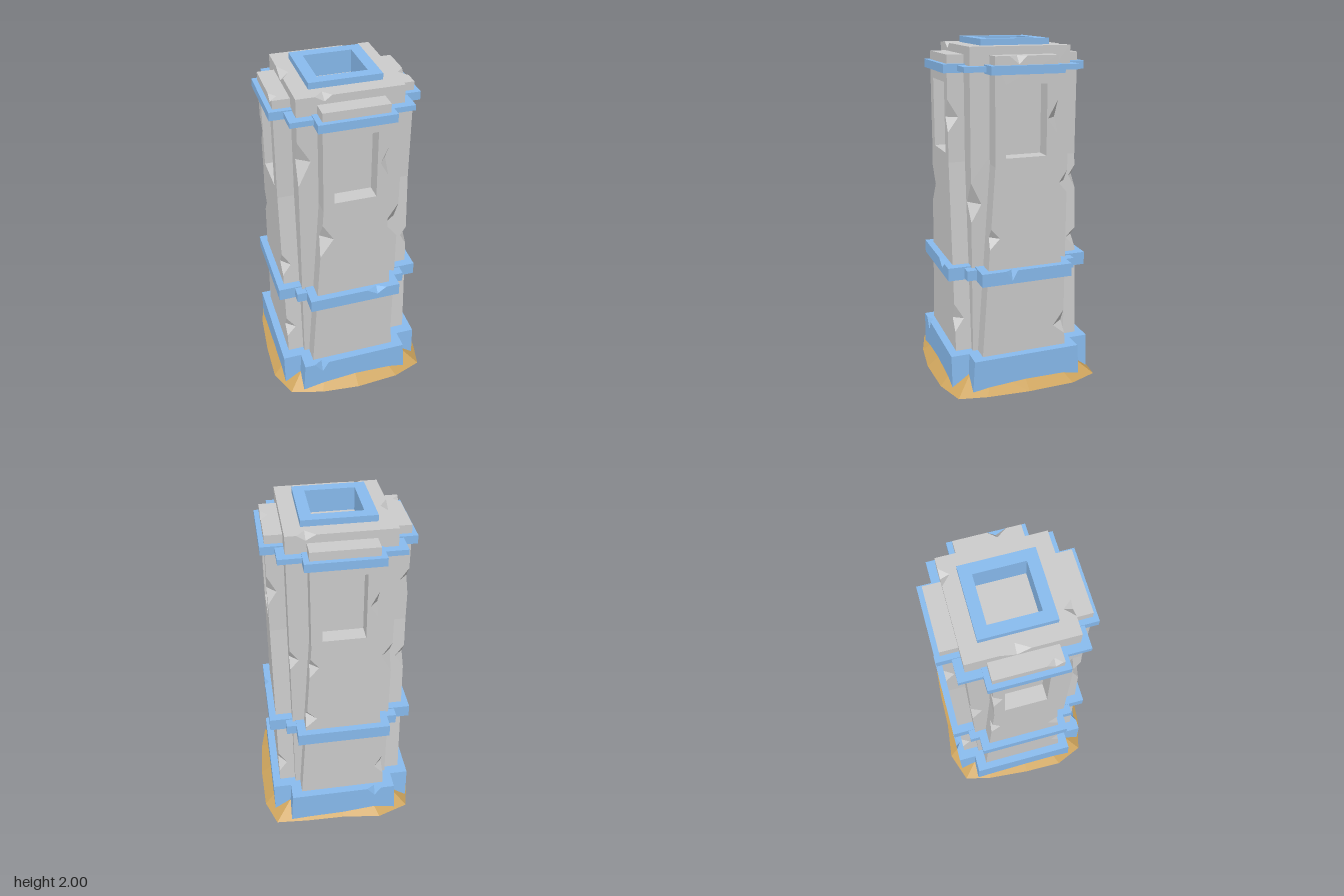
import * as THREE from 'three';

const material = (color) => new THREE.MeshStandardMaterial({ color, flatShading: true });
const stone = material(0xcccccc), trim = material(0x88bbee), earth = material(0xcca35c);

function meshFrom(triangles, mat, name) {
  const geometry = new THREE.BufferGeometry().setFromPoints(triangles);
  geometry.computeVertexNormals();
  const mesh = new THREE.Mesh(geometry, mat);
  mesh.name = name;
  return mesh;
}

// Prism of a counter-clockwise xy outline between z0 and z1.
// chips: [corner i, corner j, from, to, inset on face i-j, inset on its neighbour],
//   where from/to are coordinates along the edge.
// recess: { face, points, depth } sinks a pocket into one face.
function prism(name, mat, outline, z0, z1, chips = [], recess = null) {
  const n = outline.length, tris = [];
  const verts = [z1, z0].flatMap((z) => outline.map(([x, y]) => new THREE.Vector3(x, y, z)));
  const ids = outline.map((_, i) => i);
  const faces = [ids, ids.map((i) => i + n).reverse()];
  ids.forEach((i) => faces.push([i, i + n, (i + 1) % n + n, (i + 1) % n]));

  const cuts = chips.map(([i, j, from, to, insetA, insetB]) => {
    const p = verts[i], q = verts[j], d = q.clone().sub(p);
    const axis = ['x', 'y', 'z'].reduce((a, b) => (Math.abs(d[b]) > Math.abs(d[a]) ? b : a));
    const t = [from, to].map((s) => (s - p[axis]) / d[axis]).sort((a, b) => a - b);
    const at = (s) => p.clone().addScaledVector(d, s);
    return { i, j, insetA, insetB, a: at(t[0]), b: at(t[1]), mid: at(t[0] * 0.55 + t[1] * 0.45) };
  });

  faces.forEach((face, f) => {
    const [p0, p1, p2] = face.map((k) => verts[k]);
    const u = p1.clone().sub(p0).normalize();
    const normal = u.clone().cross(p2.clone().sub(p1)).normalize();
    const v = normal.clone().cross(u);
    const loop = [];
    face.forEach((i, k) => {
      const j = face[(k + 1) % face.length];
      loop.push(verts[i]);
      const inward = normal.clone().cross(verts[j].clone().sub(verts[i]).normalize());
      const along = cuts.filter((c) => (c.i === i && c.j === j) || (c.i === j && c.j === i));
      along.sort((c, d) => c.mid.distanceTo(verts[i]) - d.mid.distanceTo(verts[i]));
      for (const c of along) {
        const forward = c.i === i;
        const notch = c.mid.clone().addScaledVector(inward, forward ? c.insetA : c.insetB);
        c[forward ? 'first' : 'second'] = notch;
        loop.push(...(forward ? [c.a, notch, c.b] : [c.b, notch, c.a]));
      }
    });
    const hole = recess && recess.face === f ? recess.points.map((p) => new THREE.Vector3(...p)) : [];
    const flat = (list) => list.map((p) => new THREE.Vector2(p.dot(u), p.dot(v)));
    const all = [...loop, ...hole];
    THREE.ShapeUtils.triangulateShape(flat(loop), hole.length ? [flat(hole)] : [])
      .forEach((t) => tris.push(...t.map((k) => all[k])));
    if (hole.length) {
      const low = hole.map((p) => p.clone().addScaledVector(normal, -recess.depth));
      hole.forEach((p, k) => {
        const m = (k + 1) % hole.length;
        tris.push(p, hole[m], low[m], p, low[m], low[k]);
      });
      tris.push(low[0], low[1], low[2], low[0], low[2], low[3]);
    }
  });
  cuts.forEach((c) => tris.push(c.first, c.a, c.second, c.b, c.first, c.second));
  return meshFrom(tris, mat, name);
}

const rect = (w, y0, y1, bottom = w) => [[-bottom, y0], [bottom, y0], [w, y1], [-w, y1]];

// Low faceted mound of earth
function mound() {
  const rim = [[-0.23, -0.495], [0, -0.465], [0.23, -0.46], [0.425, -0.445], [0.485, -0.28],
    [0.49, 0], [0.47, 0.25], [0.435, 0.415], [0.26, 0.475], [0, 0.49], [-0.23, 0.465],
    [-0.42, 0.41], [-0.49, 0.24], [-0.485, 0], [-0.46, -0.27], [-0.42, -0.43]];
  const ring = (s, y) => rim.map(([x, z]) => new THREE.Vector3(x * s, y, z * s));
  const outer = ring(1, 0), inner = ring(0.75, 0.09), tris = [];
  const top = new THREE.Vector3(0, 0.09, 0), bottom = new THREE.Vector3();
  rim.forEach((_, i) => {
    const j = (i + 1) % rim.length;
    tris.push(outer[i], inner[i], inner[j], outer[i], inner[j], outer[j]);
    tris.push(top, inner[j], inner[i], bottom, outer[i], outer[j]);
  });
  return meshFrom(tris, earth, 'groundMound');
}

export function createModel() {
  const model = new THREE.Group();
  model.name = 'stonePillar';
  const tower = new THREE.Group();
  tower.name = 'tower';
  tower.position.set(-0.005, 0, -0.01);
  model.add(mound(), tower);

  // Square core with chipped corners and a socket in the top
  const s = 0.165, topY = 1.965;
  tower.add(prism('core', stone, rect(0.29, 0.05, topY), -0.29, 0.29, [
    [1, 2, 1.0, 1.23, 0.08, 0.06], [3, 0, 1.45, 1.72, 0.07, 0.05],
    [5, 6, 1.13, 1.26, 0.05, 0.05], [7, 4, 1.05, 1.25, 0.06, 0.06],
    [2, 3, -0.19, -0.1, 0.03, 0.05], [3, 7, -0.12, 0.04, 0.04, 0.045],
    [6, 7, 0.13, 0.23, 0.05, 0.03],
  ].map((c) => c), { face: 4, depth: 0.095, points: [[-s, topY, s], [s, topY, s], [s, topY, -s], [-s, topY, -s]] }));

  // Square collar around the socket
  const square = (h) => [[-h, -h], [h, -h], [h, h], [-h, h]].map(([x, y]) => new THREE.Vector2(x, y));
  const collarShape = new THREE.Shape(square(0.2));
  collarShape.holes.push(new THREE.Path(square(0.137)));
  const collar = new THREE.Mesh(
    new THREE.ExtrudeGeometry(collarShape, { depth: 0.13, bevelEnabled: false }).rotateX(-Math.PI / 2), trim);
  collar.name = 'topCollar';
  collar.position.y = 1.87;
  tower.add(collar);

  // Trim around the core corners
  tower.add(prism('upperCornerBand', trim, rect(0.335, 1.835, 1.865), -0.335, 0.335));
  tower.add(prism('middleCornerBand', trim, rect(0.33, 0.67, 0.73), -0.33, 0.33));

  // Four sides: front, right (+x), back, left (-x), each with its own wear
  const sides = [
    { name: 'front',
      panel: [[5, 0, 1.02, 1.24, 0.07, 0.05], [2, 3, 1.5, 1.68, 0.045, 0.06], [1, 2, 0.33, 0.5, 0.045, 0.055]],
      band: [[2, 3, 0.07, 0.19, 0.04, 0.03]], base: [[2, 3, -0.26, -0.17, 0.07, 0.03]] },
    { name: 'plusX',
      panel: [[5, 0, 0.86, 0.98, 0.055, 0.035], [2, 3, 1.5, 1.68, 0.055, 0.05],
        [1, 2, 0.28, 0.43, 0.07, 0.05], [3, 4, -0.1, 0, 0.045, 0.04]],
      band: [[2, 3, -0.13, -0.06, 0.06, 0.025]], base: [] },
    { name: 'back',
      panel: [[5, 0, 0.76, 0.88, 0.06, 0.06], [5, 0, 1.13, 1.26, 0.05, 0.04], [1, 2, 0.3, 0.45, 0.05, 0.05],
        [2, 3, 1.5, 1.66, 0.045, 0.05]],
      band: [], base: [[2, 3, 0.15, 0.24, 0.06, 0.03]] },
    { name: 'minusX',
      panel: [[1, 2, 0.8, 0.95, 0.06, 0.05], [1, 2, 0.33, 0.47, 0.05, 0.055],
        [4, 5, 1.5, 1.66, 0.05, 0.05], [5, 0, 1.0, 1.15, 0.05, 0.05], [3, 4, 0.09, 0.17, 0.03, 0.035]],
      band: [], base: [] },
  ];
  sides.forEach((side, k) => {
    const group = new THREE.Group();
    group.name = side.name + 'Side';
    group.rotation.y = k * Math.PI / 2;
    const d = 0.385, w = 0.118;
    // Tapered wall panel with a sunken window
    const outline = [[-0.267, 0.1], [0.267, 0.1], [0.18, 1.33], [0.18, 1.92], [-0.18, 1.92], [-0.18, 1.33]];
    group.add(prism('wallPanel', stone, outline, 0.2, d, side.panel,
      { face: 0, depth: 0.09, points: [[-w, 1.375, d], [w, 1.375, d], [w, 1.77, d], [-w, 1.77, d]] }));
    // Projecting trim and plinth
    group.add(prism('upperBand', trim, rect(0.21, 1.825, 1.872), 0.2, 0.412));
    group.add(prism('middleBand', trim, rect(0.272, 0.66, 0.737), 0.2, 0.425, side.band));
    group.add(prism('plinth', trim, rect(0.322, 0.01, 0.21, 0.335), 0.2, 0.431, side.base));
    tower.add(group);
  });
  return model;
}
